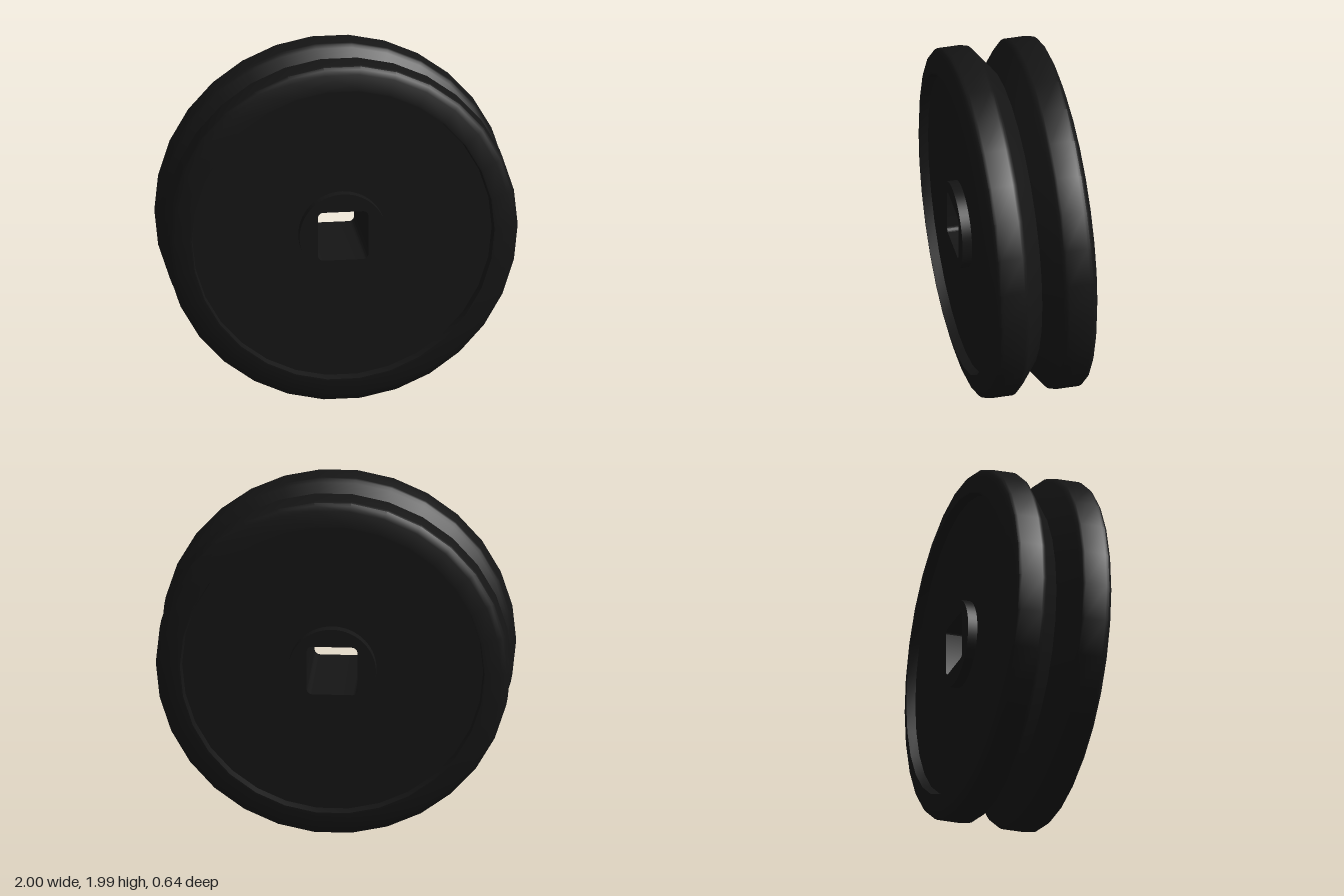
import * as THREE from 'three';
import { toCreasedNormals } from 'three/addons/utils/BufferGeometryUtils.js';

const SEGMENTS = 30;
const CENTER_Y = Math.cos(Math.PI / SEGMENTS); // wheel rests on a flat facet

function roundedSquare(half, r) {
  const p = new THREE.Path(), k = half - r;
  p.moveTo(half, -k);
  p.absarc(k, k, r, 0, Math.PI / 2);
  p.absarc(-k, k, r, Math.PI / 2, Math.PI);
  p.absarc(-k, -k, r, Math.PI, Math.PI * 1.5);
  p.absarc(k, -k, r, Math.PI * 1.5, Math.PI * 2);
  return p;
}

export function createModel() {
  const group = new THREE.Group();
  group.name = 'groovedWheel';
  const material = new THREE.MeshStandardMaterial({ color: 0x151515 });

  // Half profile (radius, z) from the recessed face over the rim to the groove
  const half = [
    [0.24, 0.265], [0.85, 0.265], [0.86, 0.315], [0.87, 0.315],
    [0.955, 0.293], [0.983, 0.282], [0.996, 0.268], [1, 0.25],
    [1, 0.128], [0.994, 0.112], [0.98, 0.098], [0.857, 0],
  ];
  const back = half.map(([r, z]) => new THREE.Vector2(r, -z));
  const front = half.slice(0, -1).reverse().map(([r, z]) => new THREE.Vector2(r, z));

  // Wheel body: rim, V groove and both recessed faces
  const bodyGeometry = new THREE.LatheGeometry([...back, ...front], SEGMENTS, Math.PI / 2);
  bodyGeometry.rotateX(Math.PI / 2);
  const body = new THREE.Mesh(toCreasedNormals(bodyGeometry, 0.55), material);
  body.name = 'wheelBody';

  // Hub with a square axle hole
  const disc = new THREE.Shape();
  disc.absarc(0, 0, 0.248, 0, Math.PI * 2);
  disc.holes.push(roundedSquare(0.143, 0.03));
  const hubGeometry = new THREE.ExtrudeGeometry(disc, { depth: 0.64, bevelEnabled: false, curveSegments: SEGMENTS });
  hubGeometry.translate(0, 0, -0.32);
  const hub = new THREE.Mesh(toCreasedNormals(hubGeometry, 0.55), material);
  hub.name = 'hub';

  body.position.y = hub.position.y = CENTER_Y;
  group.add(body, hub);
  return group;
}
